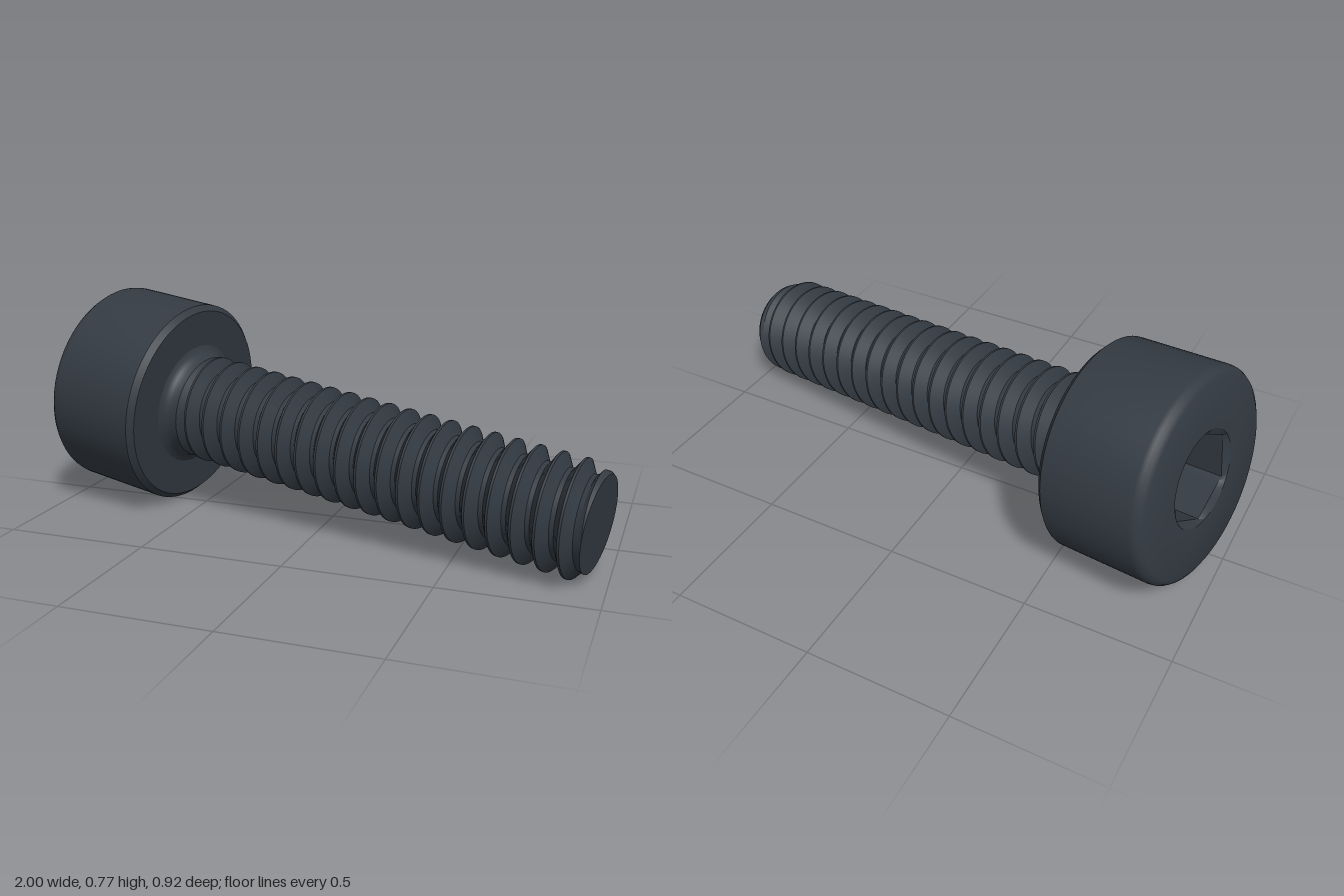
import * as THREE from 'three';
import { toCreasedNormals } from 'three/addons/utils/BufferGeometryUtils.js';

const SEG = 72, TAU = Math.PI * 2;
const PITCH = 0.0775, CREST = 0.19, ROOT = 0.147;
const THREAD_START = -0.5, THREAD_END = 0.988, TIP_R = 0.16;
const HEAD_END = -0.945;

// Creases are found at a larger scale so that fine thread edges stay apart.
function crease(geometry, angle) {
  geometry.scale(100, 100, 100);
  const g = toCreasedNormals(geometry, angle);
  g.scale(0.01, 0.01, 0.01);
  return g;
}

// Skin over rows; each row gives [radius, height] at an angle around the axis.
function loft(rows, angle) {
  const pos = [], idx = [];
  for (const row of rows) {
    for (let i = 0; i <= SEG; i++) {
      const a = (i / SEG) * TAU;
      const [r, y] = row(a);
      pos.push(r * Math.cos(a), y, r * Math.sin(a));
    }
  }
  const same = (p, q) => [0, 1, 2].every(k => Math.abs(pos[p * 3 + k] - pos[q * 3 + k]) < 1e-7);
  const tri = (a, b, c) => {
    if (!same(a, b) && !same(b, c) && !same(a, c)) idx.push(a, b, c);
  };
  for (let j = 0; j < rows.length - 1; j++) {
    for (let i = 0; i < SEG; i++) {
      const a = j * (SEG + 1) + i, b = a + SEG + 1;
      tri(a, b, b + 1);
      tri(a, b + 1, a + 1);
    }
  }
  const g = new THREE.BufferGeometry();
  g.setAttribute('position', new THREE.Float32BufferAttribute(pos, 3));
  g.setIndex(idx);
  return crease(g, angle);
}

// Right-handed helical thread with a chamfered tip.
function threadRadius(t, a) {
  let f = (t + 0.491) / PITCH + a / TAU + 1e-6;
  f -= Math.floor(f);
  let h = 0;
  if (f < 0.1) h = 1;
  else if (f < 0.45) h = (0.45 - f) / 0.35;
  else if (f > 0.65) h = (f - 0.65) / 0.35;
  const toTip = THREE.MathUtils.clamp((t - 0.945) / (THREAD_END - 0.945), 0, 1);
  const limit = THREE.MathUtils.lerp(CREST, TIP_R, toTip);
  const floor = THREE.MathUtils.lerp(ROOT, TIP_R, toTip);
  return Math.min(limit, Math.max(floor, ROOT + (CREST - ROOT) * h));
}

function threadGeometry() {
  const rows = [];
  for (let k = -1; k <= 21; k++) {
    for (const f of [0, 0.1, 0.28, 0.45, 0.65, 0.82]) {
      rows.push(a => {
        const t = THREE.MathUtils.clamp(-0.491 + PITCH * (k + f - a / TAU), THREAD_START, THREAD_END);
        return [threadRadius(t, a), t];
      });
    }
  }
  rows.push(() => [0, THREAD_END]);
  return loft(rows, 0.5);
}

// Hexagonal recess with a round lead-in.
function socketGeometry() {
  const hex = a => 0.141 / Math.cos((a % (Math.PI / 3)) - Math.PI / 6);
  return loft([
    () => [0, HEAD_END + 0.2],
    a => [hex(a), HEAD_END + 0.2],
    a => [hex(a), HEAD_END + 0.015],
    () => [0.168, HEAD_END],
  ], 0.4);
}

function lathe(points, angle) {
  return crease(new THREE.LatheGeometry(points.map(p => new THREE.Vector2(...p)), SEG), angle);
}

export function createModel() {
  const steel = new THREE.MeshStandardMaterial({ color: 0x333a42 });
  steel.name = 'blackened steel';
  const model = new THREE.Group();
  model.name = 'socketHeadScrew';
  const screw = new THREE.Group();
  screw.name = 'screw';
  model.add(screw);
  const add = (name, geometry) => {
    const mesh = new THREE.Mesh(geometry, steel);
    mesh.name = name;
    screw.add(mesh);
  };

  // Cylindrical head, open in the middle for the socket
  add('head', lathe([
    [0.168, HEAD_END], [0.338, HEAD_END], [0.354, -0.936], [0.363, -0.923], [0.366, -0.908],
    [0.366, -0.585], [0.347, -0.565], [0.14, -0.565],
  ], 0.55));
  add('socket', socketGeometry());

  // Filleted neck under the head
  add('neck', lathe([
    [0.222, -0.566], [0.205, -0.559], [0.193, -0.547], [0.187, -0.53],
    [0.185, -0.512], [0.146, -0.478],
  ], 0.6));
  add('threadedShank', threadGeometry());

  // Lay the screw on its side, resting on the head rim and the tip
  const axis = new THREE.Vector3(1, -0.119, 0.213).normalize();
  const up = new THREE.Vector3(0, 1, 0).addScaledVector(axis, -axis.y).normalize();
  const side = new THREE.Vector3().crossVectors(up, axis);
  screw.quaternion.setFromRotationMatrix(new THREE.Matrix4().makeBasis(up, axis, side));
  screw.position.set(0, 0.299, 0.079);
  return model;
}
